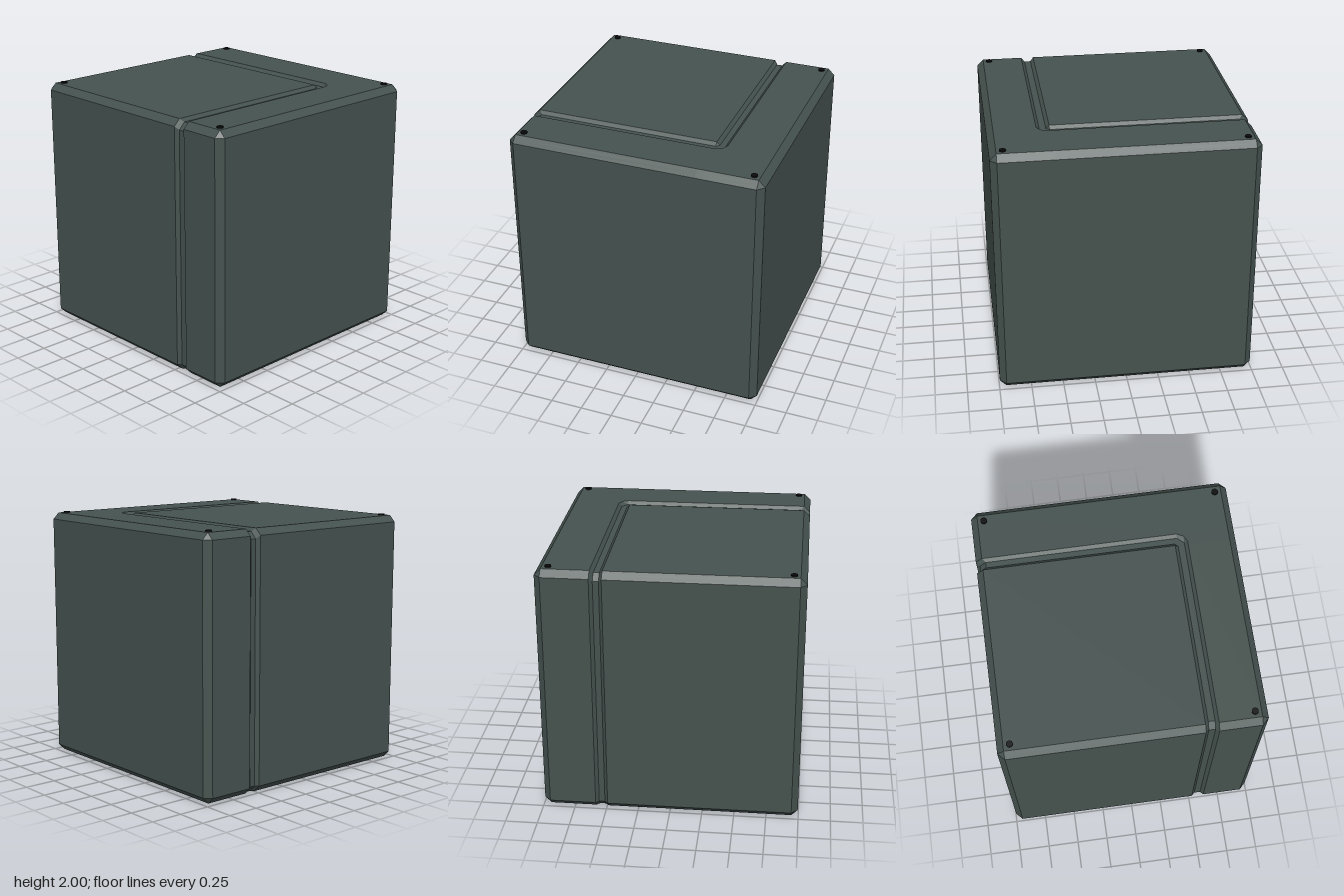
import * as THREE from 'three';

const HALF = 0.995, CHAMFER = 0.05, DEPTH = 0.025;
const IN = HALF - CHAMFER;

// Lattice lines per axis; lines 2..5 in x and z bound the groove, 3 and 4 its floor
const LINES = {
  x: [-HALF, -IN, 0.49, 0.515, 0.56, 0.585, IN, HALF],
  y: [-HALF, -IN, IN, HALF],
  z: [-HALF, -IN, 0.525, 0.55, 0.6, 0.625, IN, HALF],
};

// Chamfered cube with an L-shaped groove running over the top, back and one side
function grooveCube() {
  const geo = new THREE.BoxGeometry(2, 2, 2, 7, 3, 7);
  const pos = geo.attributes.position;
  for (let i = 0; i < pos.count; i++) {
    const index = {}, p = {};
    ['x', 'y', 'z'].forEach((axis, k) => {
      const last = LINES[axis].length - 1;
      index[axis] = Math.round((pos.getComponent(i, k) + 1) / 2 * last);
      p[axis] = LINES[axis][index[axis]];
    });

    // Cut edges and corners down to the chamfer planes
    const outer = ['x', 'y', 'z'].filter((a) => Math.abs(p[a]) === HALF);
    const inset = [0, 0, CHAMFER / 2, CHAMFER * 2 / 3][outer.length];
    outer.forEach((a) => { p[a] -= Math.sign(p[a]) * inset; });

    // Sink the groove floor; its outer bend is cut diagonally
    const { x, y, z } = index;
    const floorX = x === 3 || x === 4, floorZ = z === 3 || z === 4;
    const bend = x === 4 && z === 4;
    if (y >= 2 && !bend && ((floorX && z <= 4) || (floorZ && x <= 4))) p.y -= DEPTH;
    if (floorX && z <= 1) p.z += DEPTH;
    if (floorZ && x <= 1) p.x += DEPTH;

    pos.setXYZ(i, p.x, p.y + HALF, p.z);
  }
  geo.computeVertexNormals();
  return geo;
}

export function createModel() {
  const model = new THREE.Group();
  model.name = 'groovedBlock';

  const body = new THREE.Mesh(
    grooveCube(),
    new THREE.MeshStandardMaterial({ color: 0x45524f, flatShading: true }),
  );
  body.name = 'body';
  model.add(body);

  // Small round studs near the top corners
  const studGeo = new THREE.CylinderGeometry(0.025, 0.025, 0.02, 20);
  const studMat = new THREE.MeshStandardMaterial({ color: 0x0a0a0a });
  for (const sx of [-1, 1]) {
    for (const sz of [-1, 1]) {
      const stud = new THREE.Mesh(studGeo, studMat);
      stud.name = 'stud';
      stud.position.set(sx * 0.897, 1.99, sz * 0.897);
      model.add(stud);
    }
  }
  return model;
}
